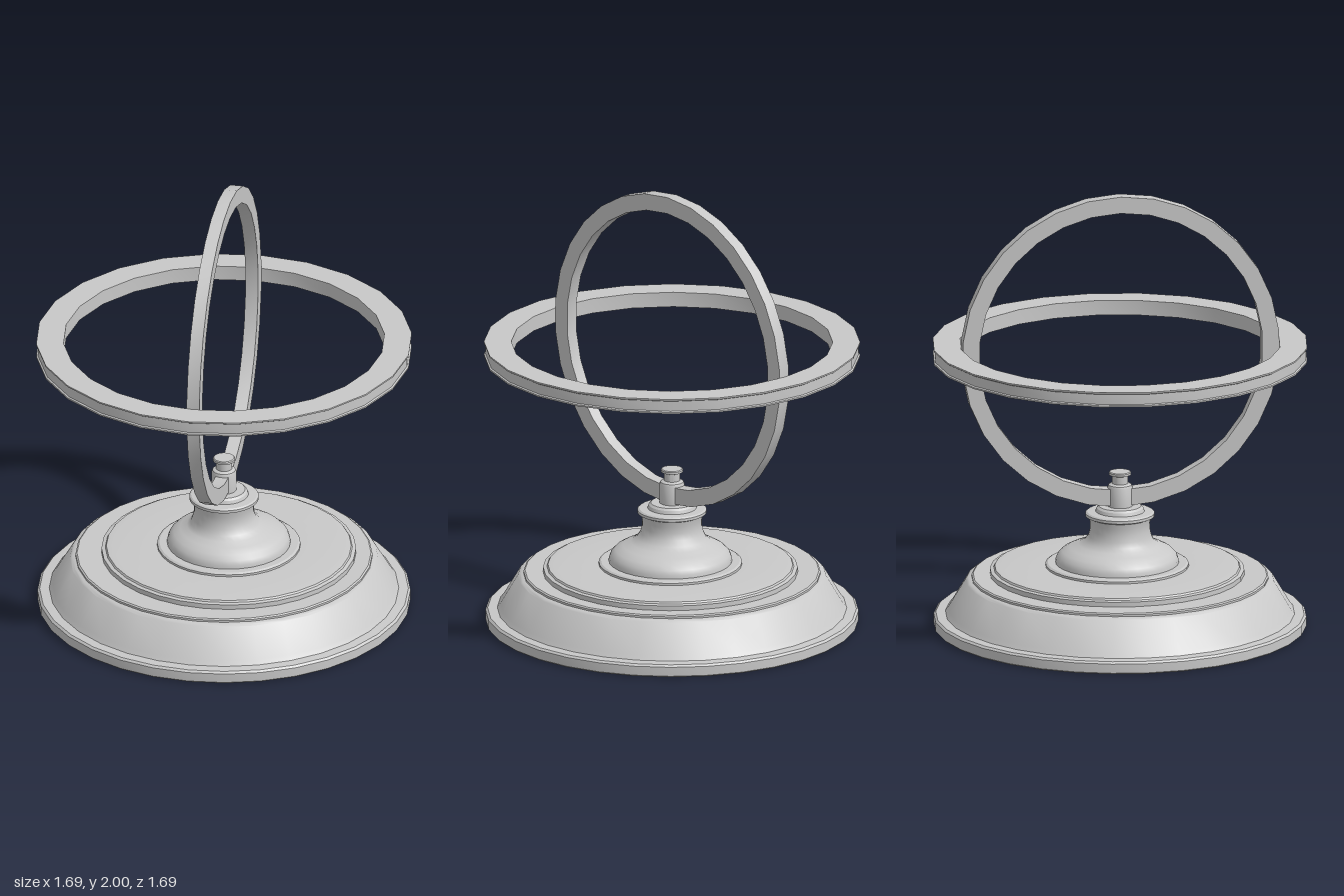
import * as THREE from 'three';
import { toCreasedNormals } from 'three/addons/utils/BufferGeometryUtils.js';

const CREASE = 0.5;

// Revolve a list of [radius, height] points around the y axis
function revolve(points, segments) {
  return new THREE.LatheGeometry(points.map(([r, y]) => new THREE.Vector2(r, y)), segments);
}

export function createModel() {
  const model = new THREE.Group();
  model.name = 'ringStand';
  const metal = new THREE.MeshStandardMaterial({ color: 0xc8c8c8 });
  metal.name = 'greyMetal';

  function add(name, geometry) {
    const mesh = new THREE.Mesh(toCreasedNormals(geometry, CREASE), metal);
    mesh.name = name;
    model.add(mesh);
    return mesh;
  }

  // Wide sloping foot with a rounded lip
  add('base', revolve([
    [0, 0], [0.832, 0], [0.838, 0.006], [0.838, 0.048], [0.828, 0.057],
    [0.785, 0.06], [0.77, 0.08], [0.692, 0.212], [0.682, 0.219], [0.667, 0.222],
    [0.667, 0.231], [0.66, 0.236], [0, 0.236],
  ], 32));

  // Stepped discs, sitting slightly off centre
  const steps = add('steppedDiscs', revolve([
    [0, 0.23], [0.572, 0.23], [0.572, 0.258], [0.555, 0.262], [0.55, 0.27],
    [0.52, 0.274], [0.322, 0.274], [0.322, 0.284], [0.312, 0.29], [0, 0.29],
  ], 32));
  steps.position.set(0.02, 0, -0.01);

  // Bell: its foot follows the discs, its neck leans back to the centre
  const bell = revolve([
    [0, 0.285], [0.278, 0.285], [0.276, 0.305], [0.268, 0.325], [0.248, 0.345],
    [0.215, 0.363], [0.18, 0.378], [0.157, 0.395], [0.142, 0.42], [0.135, 0.45],
    [0.135, 0.48], [0.14, 0.505], [0.156, 0.512], [0.156, 0.525], [0.148, 0.531],
    [0.11, 0.533], [0.105, 0.548], [0.095, 0.557], [0, 0.557],
  ], 32);
  const p = bell.attributes.position;
  for (let i = 0; i < p.count; i++) {
    const shift = 1 - THREE.MathUtils.smoothstep(p.getY(i), 0.34, 0.43);
    p.setX(i, p.getX(i) + 0.02 * shift);
    p.setZ(i, p.getZ(i) - 0.01 * shift);
  }
  add('bell', bell);

  // Holder and knob around the foot of the upright ring
  add('stem', revolve([
    [0, 0.55], [0.056, 0.55], [0.056, 0.645], [0.052, 0.655], [0.044, 0.66],
    [0.036, 0.662], [0.036, 0.697], [0.05, 0.702], [0.05, 0.712], [0.046, 0.716], [0, 0.716],
  ], 20));

  // Upright ring in the y-z plane
  const upright = revolve([
    [0.645, -0.029], [0.721, -0.029], [0.721, 0.029], [0.645, 0.029], [0.645, -0.029],
  ], 30);
  upright.rotateY(Math.PI / 2).rotateZ(Math.PI / 2);
  add('uprightRing', upright).position.y = 1.28;

  // Level ring with a shallow groove round its outer face
  add('levelRing', revolve([
    [0.722, -0.034], [0.845, -0.034], [0.845, -0.027], [0.838, -0.023], [0.838, 0.023],
    [0.845, 0.027], [0.845, 0.034], [0.722, 0.034], [0.722, -0.034],
  ], 24)).position.y = 1.28;

  return model;
}
